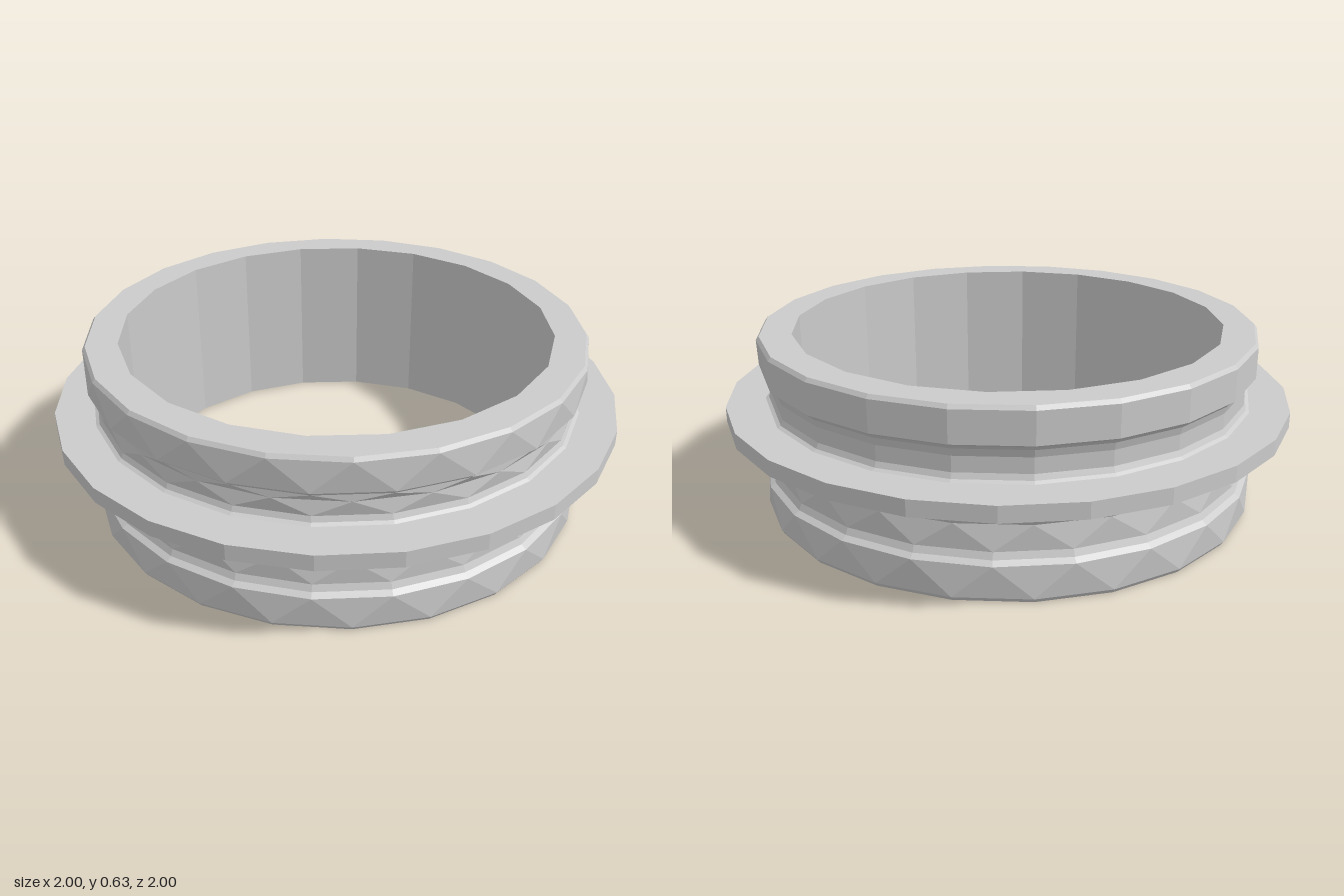
import * as THREE from 'three';

const SIDES = 22, BORE_SIDES = 20, FLANGE_SIDES = 24;
const HEIGHT = 0.63, BORE = 0.76, CAP = 0.87;
const STEP = (Math.PI * 2) / SIDES;

// turn: 0 = half a facet off the front axis, 1 = a vertex on it all round, 'front' = only on the front half
function ring([r, y, turn]) {
  const pts = [];
  for (let i = 0; i < SIDES; i++) {
    const a = (i + 0.5) * STEP;
    const t = turn === 'front' ? THREE.MathUtils.clamp(0.5 + 2 * Math.cos(a), 0, 1) : turn;
    const b = a - (t * STEP) / 2;
    pts.push([r * Math.sin(b), y, r * Math.cos(b)]);
  }
  return pts;
}

// Faceted skin through the rings, bottom to top; turned neighbours make a zigzag
function facetedSkin(rows) {
  const pos = [];
  for (let k = 0; k < rows.length - 1; k++) {
    const a = ring(rows[k]), b = ring(rows[k + 1]);
    const rising = rows[k][2] !== 0;
    for (let i = 0; i < SIDES; i++) {
      const j = (i + 1) % SIDES;
      if (rising) pos.push(...a[i], ...a[j], ...b[i], ...a[j], ...b[j], ...b[i]);
      else pos.push(...a[i], ...b[j], ...b[i], ...a[i], ...a[j], ...b[j]);
    }
  }
  const g = new THREE.BufferGeometry();
  g.setAttribute('position', new THREE.Float32BufferAttribute(pos, 3));
  g.computeVertexNormals();
  return g;
}

function lathe(profile, sides) {
  return new THREE.LatheGeometry(profile.map(([r, y]) => new THREE.Vector2(r, y)), sides);
}

function polygon(r, sides, offset) {
  return Array.from({ length: sides }, (_, i) => {
    const a = ((i + offset) * Math.PI * 2) / sides;
    return new THREE.Vector2(r * Math.sin(a), r * Math.cos(a));
  });
}

// Flat annulus closing an end of the ring
function endCap(up) {
  const shape = new THREE.Shape(polygon(CAP, SIDES, 0.5));
  shape.holes.push(new THREE.Path(polygon(BORE, BORE_SIDES, 0)));
  return new THREE.ShapeGeometry(shape)
    .rotateX(up ? -Math.PI / 2 : Math.PI / 2)
    .translate(0, up ? HEIGHT : 0, 0);
}

export function createModel() {
  const group = new THREE.Group();
  group.name = 'flangedRing';
  const material = new THREE.MeshStandardMaterial({ color: 0xcccccc, flatShading: true });
  const add = (name, geometry) => {
    const mesh = new THREE.Mesh(geometry, material);
    mesh.name = name;
    group.add(mesh);
  };

  // Lower rim and the groove above it
  add('lowerRim', facetedSkin([
    [CAP, 0, 0], [0.88, 0.015, 0], [0.88, 0.125, 1], [0.862, 0.138, 1],
  ]));
  add('lowerGroove', facetedSkin([
    [0.862, 0.138, 1], [0.852, 0.16, 1], [0.845, 0.245, 0], [0.855, 0.262, 0], [0.875, 0.275, 0],
  ]));

  // Upper groove and rim, plain facets toward the back
  add('upperGroove', facetedSkin([
    [0.875, 0.38, 'front'], [0.855, 0.392, 'front'], [0.847, 0.41, 'front'],
    [0.847, 0.462, 0], [0.855, 0.488, 'front'], [0.865, 0.5, 'front'],
  ]));
  add('upperRim', facetedSkin([
    [0.865, 0.5, 'front'], [0.88, 0.51, 'front'], [0.88, 0.617, 0], [CAP, HEIGHT, 0],
  ]));

  // Wide flange with a sloping underside
  add('flange', lathe([[0.83, 0.254], [0.87, 0.27], [1, 0.33], [1, 0.385], [0.83, 0.385]], FLANGE_SIDES));

  // Bore and flat ends
  add('bore', lathe([[BORE, HEIGHT], [BORE, 0]], BORE_SIDES));
  add('topFace', endCap(true));
  add('bottomFace', endCap(false));
  return group;
}
